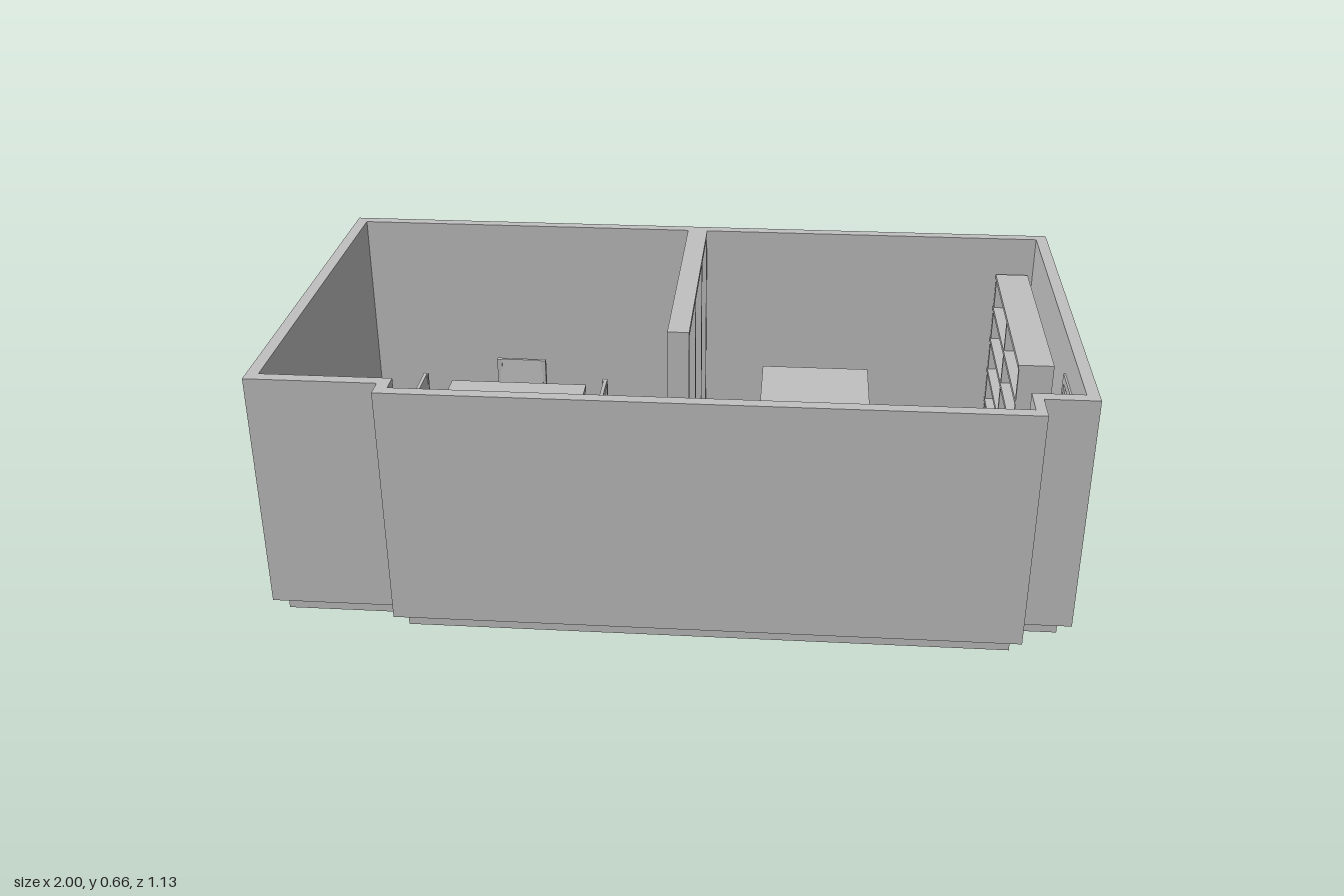
import * as THREE from 'three';

const FLOOR = 0.04, TOP = 0.66;

export function createModel() {
  const model = new THREE.Group();
  model.name = 'furnishedRooms';
  const grey = new THREE.MeshStandardMaterial({ color: 0xc0c0c0 });
  grey.name = 'plain grey';

  // Box given by its limits on each axis
  const box = (parent, name, x0, x1, y0, y1, z0, z1) => {
    const mesh = new THREE.Mesh(new THREE.BoxGeometry(x1 - x0, y1 - y0, z1 - z0), grey);
    mesh.position.set((x0 + x1) / 2, (y0 + y1) / 2, (z0 + z1) / 2);
    mesh.name = name;
    parent.add(mesh);
    return mesh;
  };
  const group = (name) => {
    const g = new THREE.Group();
    g.name = name;
    model.add(g);
    return g;
  };
  // Floor plan outline of [x, z] points raised from y0 to y1
  const raise = (name, points, y0, y1) => {
    const shape = new THREE.Shape(points.map(([x, z]) => new THREE.Vector2(x, -z)));
    const geo = new THREE.ExtrudeGeometry(shape, { depth: y1 - y0, bevelEnabled: false });
    const mesh = new THREE.Mesh(geo.rotateX(-Math.PI / 2), grey);
    mesh.position.y = y0;
    mesh.name = name;
    model.add(mesh);
  };

  // Floor slab and outer walls, with a gap for the door
  const inner = [[0.96, -0.535], [-0.97, -0.535], [-0.97, 0.485], [-0.65, 0.485],
    [-0.65, 0.535], [0.835, 0.535], [0.835, 0.45], [0.96, 0.45]];
  const outer = [[0.99, 0.48], [0.86, 0.48], [0.86, 0.565], [-0.68, 0.565],
    [-0.68, 0.515], [-1, 0.515], [-1, -0.565], [0.99, -0.565]];
  raise('floorSlab', inner, 0, FLOOR);
  raise('outerWalls', [[0.99, 0.42], ...outer, [0.99, 0.165], [0.96, 0.165], ...inner, [0.96, 0.42]], FLOOR, TOP);
  box(model, 'doorLintelWall', 0.96, 0.99, 0.565, TOP, 0.165, 0.42);
  box(model, 'doorSill', 0.96, 0.99, FLOOR - 0.005, FLOOR + 0.002, 0.165, 0.42);

  // Door with its frame
  const door = group('door');
  box(door, 'frontJamb', 0.955, 0.997, FLOOR, 0.553, 0.41, 0.428);
  box(door, 'backJamb', 0.955, 0.997, FLOOR, 0.553, 0.157, 0.177);
  box(door, 'frameHead', 0.955, 0.997, 0.553, 0.573, 0.157, 0.428);
  box(door, 'doorLeaf', 0.96, 0.972, FLOOR, 0.553, 0.177, 0.41);

  // Partition: thin core between full-depth posts and rails
  const partition = group('partition');
  box(partition, 'partitionCore', -0.012, 0.007, FLOOR, TOP - 0.015, -0.535, 0.165);
  box(partition, 'topRail', -0.03, 0.025, TOP - 0.015, TOP, -0.535, 0.175);
  box(partition, 'bottomRail', -0.03, 0.025, FLOOR, FLOOR + 0.015, -0.535, 0.175);
  for (const z of [-0.52, -0.315, -0.07, 0.167])
    box(partition, 'post', -0.03, 0.025, FLOOR, TOP - 0.015, z - 0.008, z + 0.008);
  box(model, 'pedestal', -0.027, 0.07, FLOOR, 0.25, 0.197, 0.25);

  // Four-legged table
  const table = (name, x0, x1, z0, z1, top, leg, inset) => {
    const g = group(name);
    box(g, 'tableTop', x0, x1, top - 0.018, top, z0, z1);
    for (const x of [x0 + inset, x1 - inset - leg])
      for (const z of [z0 + inset, z1 - inset - leg])
        box(g, 'tableLeg', x, x + leg, FLOOR, top - 0.018, z, z + leg);
    return g;
  };
  table('diningTable', -0.71, -0.315, -0.36, 0.232, 0.24, 0.022, 0.015);

  // Dining chair facing local +z, origin at the back edge
  const chair = (x, z, turn, w) => {
    const g = group('diningChair');
    const h = w / 2;
    box(g, 'seat', -h, h, 0.15, 0.163, 0, 0.125);
    for (const s of [-1, 1]) {
      const cx = s * (h - 0.008);
      box(g, 'frontLeg', cx - 0.007, cx + 0.007, FLOOR, 0.15, 0.108, 0.122);
      box(g, 'backPost', cx - 0.007, cx + 0.007, FLOOR, 0.285, 0, 0.014);
    }
    const back = box(g, 'backRest', -h + 0.01, h - 0.01, 0.195, 0.285, 0, 0.01);
    back.position.z = 0.01;
    back.rotation.x = -0.1;
    g.position.set(x, 0, z);
    g.rotation.y = turn;
  };
  for (const z of [-0.25, -0.065, 0.12]) {
    chair(-0.78, z, Math.PI / 2, 0.125);
    chair(-0.245, z, -Math.PI / 2, 0.125);
  }
  chair(-0.513, -0.43, 0, 0.145);
  chair(-0.513, 0.3, Math.PI, 0.145);

  // Desk with a small bench
  const desk = table('desk', 0.195, 0.505, -0.515, -0.21, 0.245, 0.02, 0.005);
  box(desk, 'backPanel', 0.215, 0.485, 0.1, 0.227, -0.508, -0.498);
  for (const x of [0.25, 0.455]) box(desk, 'rearStop', x - 0.012, x + 0.012, 0.2, 0.24, -0.522, -0.515);
  const bench = group('bench');
  box(bench, 'benchSeat', 0.25, 0.45, 0.14, 0.155, -0.205, -0.147);
  for (const x of [0.255, 0.433]) box(bench, 'benchLeg', x, x + 0.012, FLOOR, 0.14, -0.2, -0.152);

  // Bookcase open toward the room
  const bookcase = group('bookcase');
  for (const z of [-0.525, -0.23, 0.068])
    box(bookcase, 'upright', 0.857, 0.945, FLOOR, 0.555, z, z + 0.012);
  box(bookcase, 'backBoard', 0.937, 0.945, FLOOR, 0.555, -0.525, 0.08);
  for (let i = 0; i < 6; i++) {
    const y = 0.555 - i * 0.098;
    box(bookcase, 'shelf', 0.855, 0.945, y - 0.012, y, -0.525, 0.08);
  }

  // Wardrobe with two pairs of doors and an open middle
  const wardrobe = group('wardrobe');
  box(wardrobe, 'wardrobeTop', 0.03, 0.825, 0.495, 0.51, 0.425, 0.53);
  box(wardrobe, 'wardrobeBack', 0.366, 0.489, FLOOR, 0.495, 0.515, 0.53);
  box(wardrobe, 'nicheShelf', 0.366, 0.489, FLOOR, 0.06, 0.427, 0.515);
  for (const [a, b] of [[0.03, 0.366], [0.489, 0.825]]) {
    const mid = (a + b) / 2;
    box(wardrobe, 'cabinetBody', a, b, FLOOR, 0.495, 0.427, 0.53);
    for (const s of [-1, 1]) {
      const cx = mid + s * (b - a) / 4, half = (b - a) / 4 - 0.001;
      box(wardrobe, 'cabinetDoor', cx - half, cx + half, 0.05, 0.505, 0.421, 0.427);
      box(wardrobe, 'knob', mid + s * 0.012 - 0.003, mid + s * 0.012 + 0.003, 0.285, 0.305, 0.416, 0.421);
    }
  }

  // Low sideboard by the left wall
  const sideboard = group('sideboard');
  box(sideboard, 'sideboardBody', -0.96, -0.865, FLOOR, 0.228, 0.083, 0.472);
  box(sideboard, 'sideboardTop', -0.962, -0.86, 0.228, 0.24, 0.08, 0.475);
  for (let i = 0; i < 3; i++)
    box(sideboard, 'sideboardDoor', -0.865, -0.861, 0.05, 0.224, 0.086 + i * 0.129, 0.211 + i * 0.129);

  return model;
}
